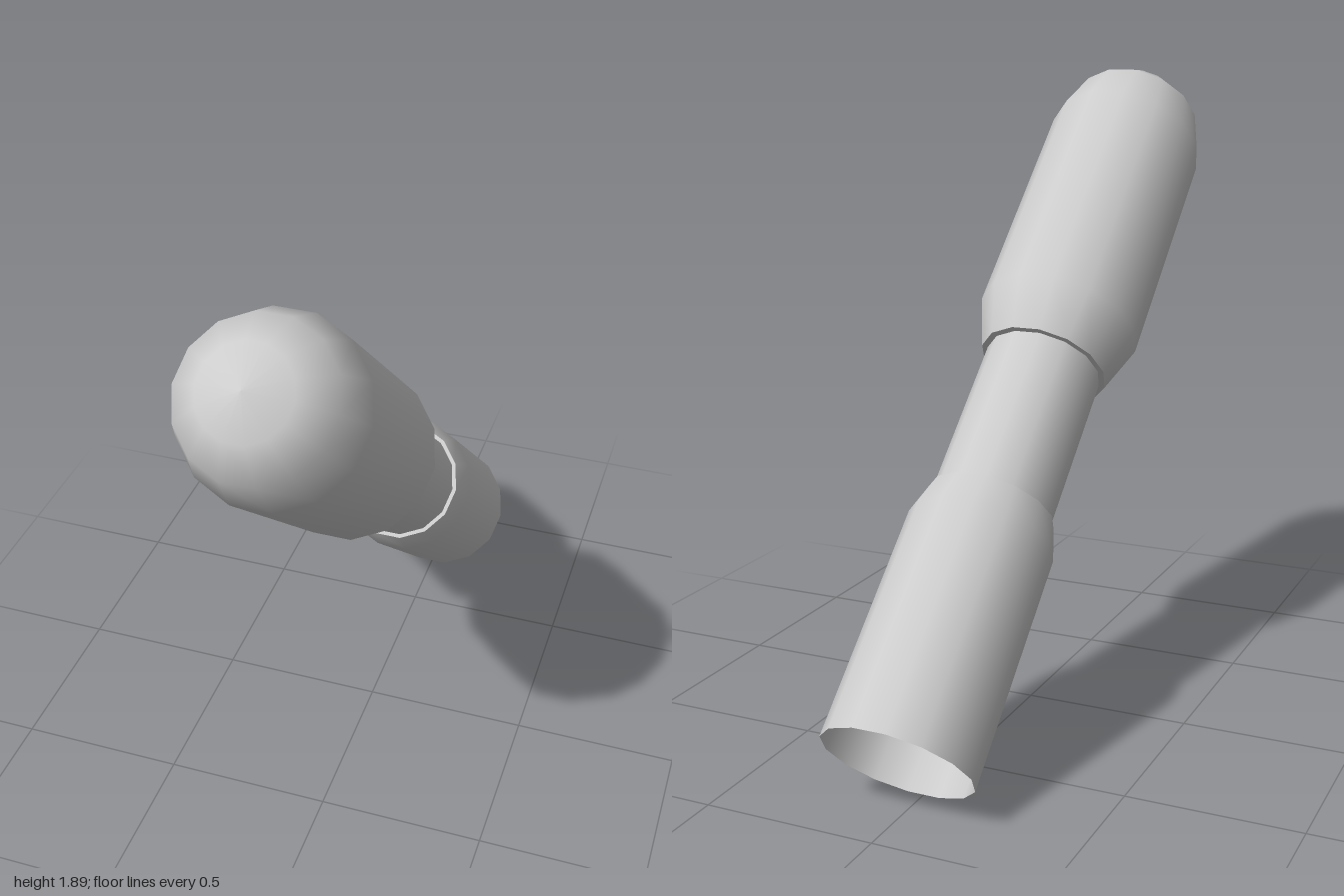
import * as THREE from 'three';

const SIDES = 14;
const material = new THREE.MeshStandardMaterial({ color: 0xcccccc, side: THREE.DoubleSide });

// Turned section around the finger's axis; profile is [radius, distance along axis]
function turned(name, profile) {
  const points = profile.map(([r, s]) => new THREE.Vector2(r, s));
  const mesh = new THREE.Mesh(new THREE.LatheGeometry(points, SIDES, Math.PI / 2), material);
  mesh.name = name;
  return mesh;
}

export function createModel() {
  const group = new THREE.Group();
  group.name = 'tiltedFinger';

  const neckR = 0.177, rimS = 0.787, headS = 1.289;

  group.add(
    // open-ended lower sleeve with a tapered shoulder
    turned('lowerSleeve', [[0.216, 0], [0.216, 0.694], [0.189, rimS]]),
    turned('sleeveRim', [[0.189, rimS], [neckR, rimS]]),
    // narrow joint between the sleeves
    turned('neck', [[neckR, rimS], [neckR, headS]]),
    // thicker upper capsule with a domed tip
    turned('headRim', [[neckR, headS], [0.195, headS]]),
    turned('roundedHead', [
      [0.195, headS], [0.248, 1.447], [0.248, 2.2],
      [0.205, 2.34], [0.12, 2.422], [0, 2.448],
    ]),
  );

  // lean the axis forward, with the lowest edge resting on the ground
  group.rotation.x = Math.atan2(0.735, 0.678);
  group.position.set(0, 0.155, -0.857);

  const model = new THREE.Group();
  model.add(group);
  return model;
}
